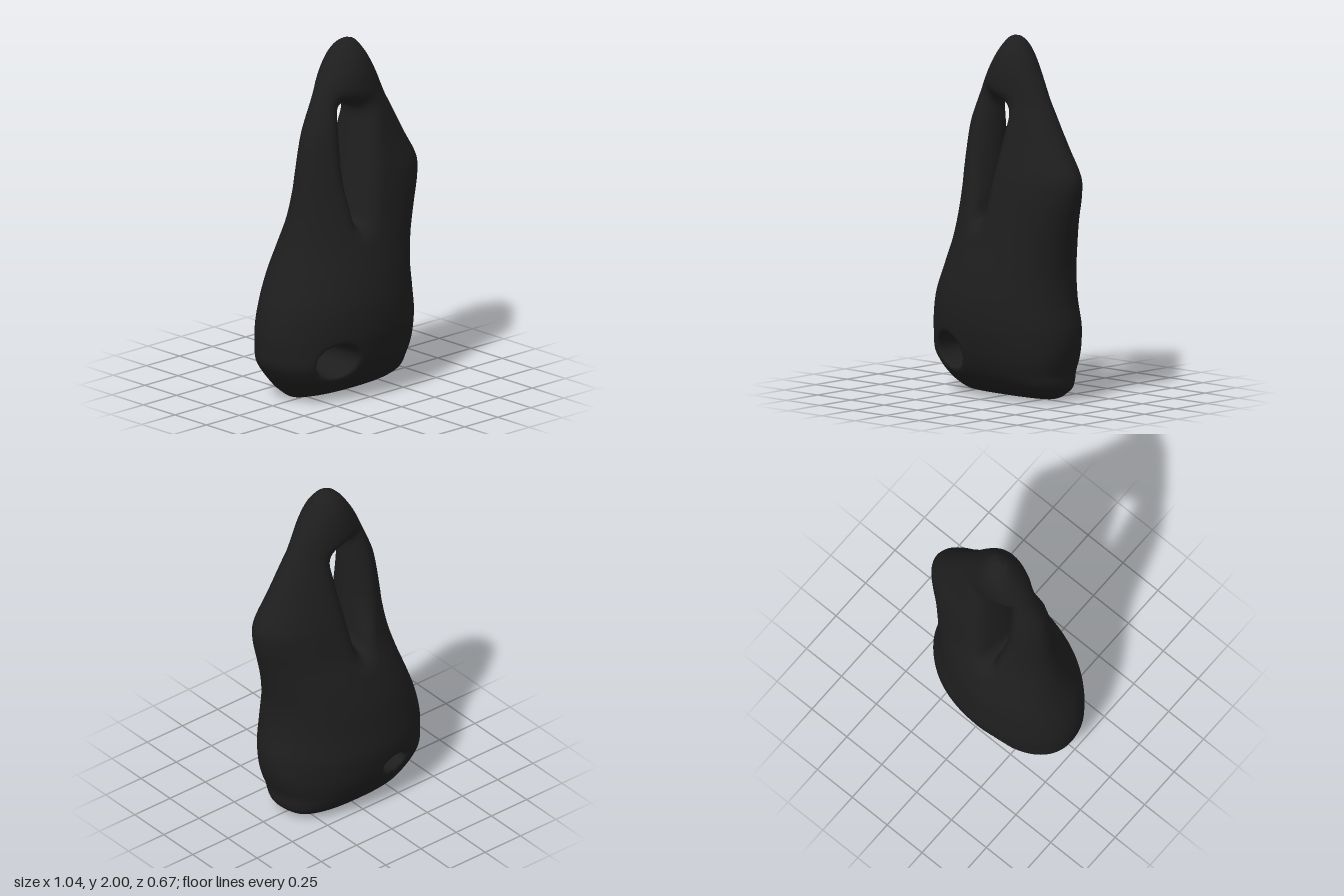
import * as THREE from 'three';

// Body cross-sections: y, left x, right x, back z, front z
const SECTIONS = [
  [0, -0.32, 0.30, -0.125, 0.04],
  [0.02, -0.34, 0.335, -0.172, 0.105],
  [0.06, -0.385, 0.385, -0.217, 0.17],
  [0.10, -0.42, 0.40, -0.243, 0.213],
  [0.15, -0.46, 0.405, -0.27, 0.25],
  [0.22, -0.505, 0.43, -0.30, 0.285],
  [0.30, -0.515, 0.45, -0.32, 0.31],
  [0.40, -0.515, 0.455, -0.335, 0.33],
  [0.55, -0.485, 0.43, -0.325, 0.335],
  [0.70, -0.43, 0.42, -0.31, 0.315],
  [0.85, -0.375, 0.44, -0.275, 0.285],
  [1.00, -0.335, 0.475, -0.23, 0.26],
  [1.15, -0.31, 0.512, -0.20, 0.24],
  [1.25, -0.30, 0.512, -0.183, 0.225],
  [1.40, -0.28, 0.43, -0.155, 0.195],
  [1.50, -0.26, 0.375, -0.138, 0.178],
  [1.58, -0.23, 0.331, -0.125, 0.163],
  [1.65, -0.20, 0.292, -0.114, 0.15],
  [1.80, -0.13, 0.215, -0.11, 0.143],
  [1.90, -0.07, 0.16, -0.09, 0.115],
  [1.96, -0.025, 0.12, -0.055, 0.075],
  [1.99, 0.01, 0.09, -0.02, 0.045],
  [2.00, 0.04, 0.06, 0.005, 0.02],
];

// Smooth interpolation of the sections at one height
function slope(i, c) {
  const a = SECTIONS[Math.max(i - 1, 0)], b = SECTIONS[Math.min(i + 1, SECTIONS.length - 1)];
  return (b[c] - a[c]) / (b[0] - a[0]);
}
function sectionAt(y) {
  y = THREE.MathUtils.clamp(y, 0, 2);
  let i = 0;
  while (i < SECTIONS.length - 2 && y > SECTIONS[i + 1][0]) i++;
  const a = SECTIONS[i], b = SECTIONS[i + 1], h = b[0] - a[0];
  const t = (y - a[0]) / h, t2 = t * t, t3 = t2 * t;
  return [1, 2, 3, 4].map((c) =>
    (2 * t3 - 3 * t2 + 1) * a[c] + (t3 - 2 * t2 + t) * h * slope(i, c) +
    (3 * t2 - 2 * t3) * b[c] + (t3 - t2) * h * slope(i + 1, c));
}

// Approximate distance to a (super)ellipse, and a rounded maximum
function ellipse(u, v, ru, rv, n = 2) {
  const a = Math.abs(u / ru), b = Math.abs(v / rv);
  const r = Math.pow(a ** n + b ** n, 1 / n);
  if (r < 1e-4) return -Math.min(ru, rv);
  return (r - 1) / Math.hypot((a / r) ** (n - 1) / ru, (b / r) ** (n - 1) / rv);
}
function smoothMax(a, b, k) {
  const h = Math.max(k - Math.abs(a - b), 0) / k;
  return Math.max(a, b) + h * h * k * 0.25;
}

// Solid field: negative inside
function field(x, y, z) {
  const [l, r, b, f] = sectionAt(y);
  const halfZ = (f - b) / 2, dz = z - (b + f) / 2;
  const fullness = 2 + 0.6 * (1 - THREE.MathUtils.smoothstep(y, 0, 0.4));
  let d = ellipse(x - (l + r) / 2 - 0.12 * dz, dz, (r - l) / 2, halfZ, fullness);
  // tapered slot that leaves a rounded handle bar on one side
  const w = Math.min((dz / halfZ) ** 2, 1.2);
  const barSide = -0.067 - x - w * (0.02 + 0.1 * THREE.MathUtils.smoothstep(y, 1.0, 1.3));
  const lobeSide = (x + 0.03 - 0.1875 * (y - 1.03)) / 1.017 - 0.05 * w;
  const ends = Math.max(0.975 - y - 0.03 * w, (y - 1.658 + 0.3 * (x + 0.03)) / 1.04 - 0.02 * w);
  d = smoothMax(d, -smoothMax(Math.max(barSide, lobeSide), ends, 0.09), 0.07);
  // slanted tunnel near the base, wider at the front
  const t = THREE.MathUtils.clamp((z + 0.28) / 0.56, -0.2, 1.2);
  d = smoothMax(d, -ellipse(x + 0.19 + 0.05 * t, y - 0.25 + 0.003 * t, 0.08 + 0.047 * t, 0.052 + 0.05 * t), 0.03);
  // softened flat base and top limit
  return Math.max(smoothMax(d, -y, 0.02), y - 2);
}

function gradient(x, y, z, e = 0.006) {
  return new THREE.Vector3(
    field(x + e, y, z) - field(x - e, y, z),
    field(x, y + e, z) - field(x, y - e, z),
    field(x, y, z + e) - field(x, y, z - e)).divideScalar(2 * e);
}

// Smooth skin over the field: one vertex per crossed cell, one quad per crossed edge
function skin() {
  const s = 0.0175, min = [-0.571, -0.031, -0.381], n = [64, 120, 44];
  const step = [1, n[0], n[0] * n[1]];
  const values = new Float32Array(n[0] * n[1] * n[2]);
  const each = (start, fn) => {
    for (let k = start; k < n[2] - 1; k++)
      for (let j = start; j < n[1] - 1; j++)
        for (let i = start; i < n[0] - 1; i++) fn(i, j, k, i + j * step[1] + k * step[2]);
  };
  values.fill(1);
  each(0, (i, j, k, id) => { values[id] = field(min[0] + i * s, min[1] + j * s, min[2] + k * s); });

  const cells = new Map(), positions = [], normals = [], indices = [];
  each(0, (i, j, k, id) => {
    const sum = new THREE.Vector3();
    let count = 0;
    for (let c = 0; c < 8; c++) {
      for (let a = 0; a < 3; a++) {
        if (c & (1 << a)) continue;
        const o = [c & 1, (c >> 1) & 1, (c >> 2) & 1];
        const p = id + o[0] + o[1] * step[1] + o[2] * step[2];
        const v0 = values[p], v1 = values[p + step[a]];
        if ((v0 < 0) === (v1 < 0)) continue;
        o[a] = v0 / (v0 - v1);
        sum.add(new THREE.Vector3(...o));
        count++;
      }
    }
    if (!count) return;
    const p = sum.divideScalar(count).add(new THREE.Vector3(i, j, k)).multiplyScalar(s).add(new THREE.Vector3(...min));
    // pull the vertex onto the surface
    const g = gradient(p.x, p.y, p.z);
    const move = field(p.x, p.y, p.z) / Math.max(g.lengthSq(), 0.05);
    p.sub(g.clone().multiplyScalar(move).clampLength(0, 0.008));
    cells.set(id, positions.length / 3);
    positions.push(p.x, p.y, p.z);
    const normal = gradient(p.x, p.y, p.z, 0.012).normalize();
    normals.push(normal.x, normal.y, normal.z);
  });
  each(1, (i, j, k, id) => {
    for (let a = 0; a < 3; a++) {
      const inside = values[id] < 0;
      if (inside === values[id + step[a]] < 0) continue;
      const b = step[(a + 1) % 3], c = step[(a + 2) % 3];
      const q = [id, id - b, id - b - c, id - c].map((m) => cells.get(m));
      if (!inside) q.reverse();
      indices.push(q[0], q[1], q[2], q[0], q[2], q[3]);
    }
  });
  const geometry = new THREE.BufferGeometry();
  geometry.setAttribute('position', new THREE.Float32BufferAttribute(positions, 3));
  geometry.setAttribute('normal', new THREE.Float32BufferAttribute(normals, 3));
  geometry.setIndex(indices);
  return geometry;
}

export function createModel() {
  const group = new THREE.Group();
  group.name = 'sculpture';
  const black = new THREE.MeshStandardMaterial({ color: 0x1e1e1e });
  black.name = 'black';
  const body = new THREE.Mesh(skin(), black);
  body.name = 'piercedBody';
  group.add(body);
  return group;
}
